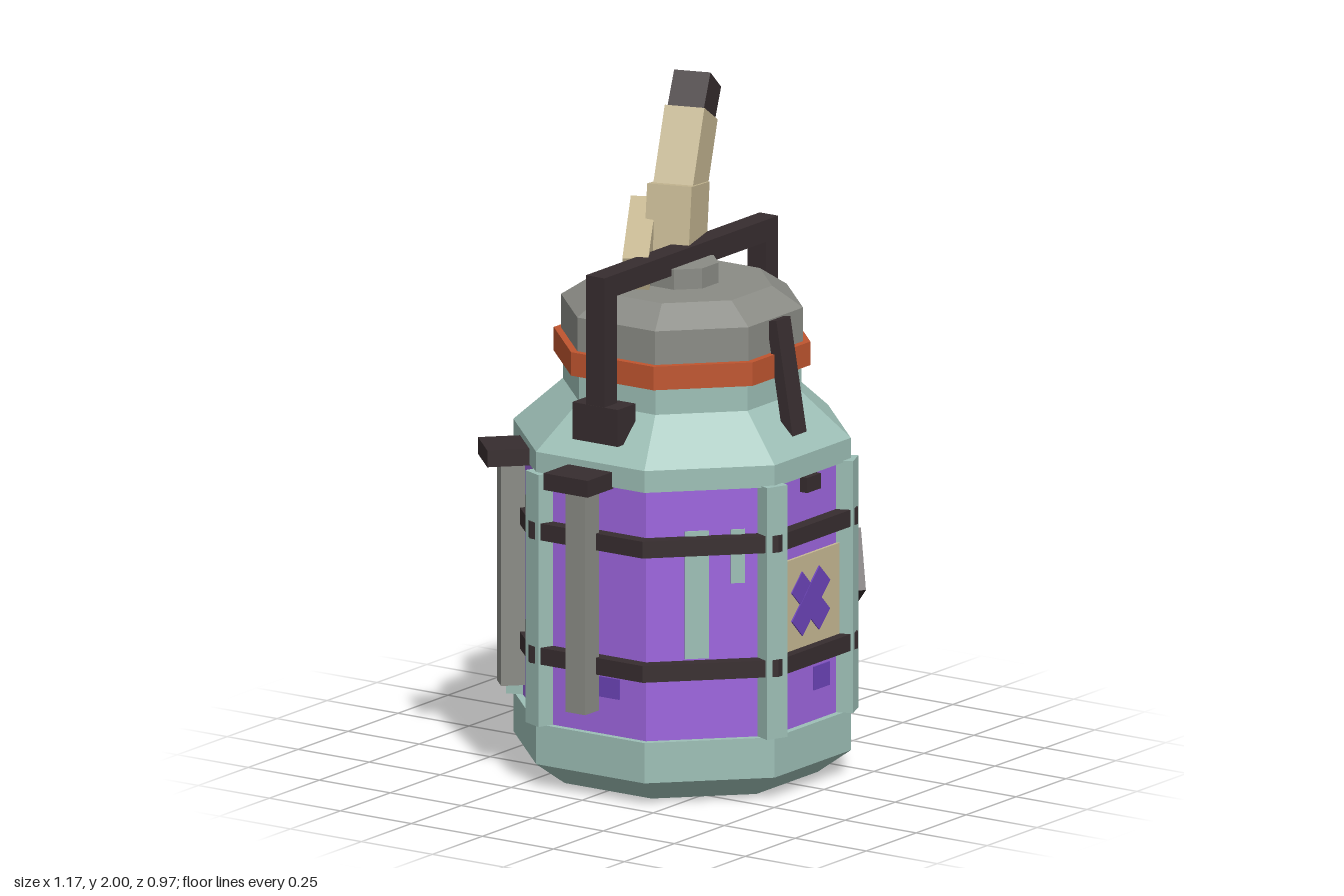
import * as THREE from 'three';

const mat = (name, color) => {
  const m = new THREE.MeshStandardMaterial({ color });
  m.name = name;
  return m;
};

export function createModel() {
  const teal = mat('teal', 0x9dbfb6), purple = mat('purple', 0x9d65de), grey = mat('grey', 0x8a8b85);
  const black = mat('black', 0x372d2f), orange = mat('orange', 0xbf552f), tan = mat('tan', 0xc6b893);
  const violet = mat('violet', 0x6c44b8), lavender = mat('lavender', 0xb28bde);
  const root = new THREE.Group();
  root.name = 'canister';

  const add = (parent, name, geo, m, x = 0, y = 0, z = 0) => {
    const mesh = new THREE.Mesh(geo, m);
    mesh.name = name;
    mesh.position.set(x, y, z);
    parent.add(mesh);
    return mesh;
  };
  const box = (parent, name, m, w, h, d, x, y, z) =>
    add(parent, name, new THREE.BoxGeometry(w, h, d), m, x, y, z);

  // Flat-shaded octagonal ring or solid; profile holds [apothem, y] from bottom to top
  const octagon = (name, m, profile) => {
    const pts = profile.map(([r, y]) => new THREE.Vector2(r / Math.cos(Math.PI / 8), y));
    const geo = new THREE.LatheGeometry(pts, 8, Math.PI / 8).toNonIndexed();
    geo.computeVertexNormals();
    return add(root, name, geo, m);
  };
  // Group whose +z axis points out of the body at the given angle in degrees
  const side = (name, degrees) => {
    const g = new THREE.Group();
    g.name = name;
    g.rotation.y = THREE.MathUtils.degToRad(degrees);
    root.add(g);
    return g;
  };

  // Body, neck and lid
  octagon('base', teal, [[0, 0], [0.37, 0], [0.46, 0.07], [0.46, 0.19], [0.4, 0.19]]);
  octagon('tank', purple, [[0.44, 0.19], [0.44, 0.935]]);
  octagon('shoulder', teal, [[0.43, 0.935], [0.46, 0.935], [0.46, 1.0], [0.325, 1.13], [0.325, 1.21]]);
  octagon('seal', orange, [[0.31, 1.21], [0.35, 1.21], [0.35, 1.28], [0.31, 1.28]]);
  octagon('lid', grey, [[0.33, 1.28], [0.33, 1.38], [0.245, 1.44], [0, 1.44]]);
  octagon('lidKnob', grey, [[0.1, 1.43], [0.1, 1.5], [0, 1.5]]);
  for (const y of [0.4, 0.77])
    octagon('strap', black, [[0.43, y - 0.025], [0.48, y - 0.025], [0.48, y + 0.025], [0.43, y + 0.025]]);

  // Corner posts
  for (const a of [-22.5, 22.5, 112.5, 202.5, 247.5])
    box(side('cornerPost', a), 'post', teal, 0.07, 0.75, 0.075, 0, 0.565, 0.475);

  // Hanging rails with caps
  for (const [a, drop] of [[90, 0.035], [-90, 0], [135, 0], [-135, 0]]) {
    const g = side('rail', a);
    box(g, 'railBar', grey, 0.07, 0.665, 0.07, 0, 0.598 - drop, 0.5);
    box(g, 'railCap', black, 0.155, 0.05, 0.13, 0, 0.955 - drop, 0.518);
  }

  // Carrying handle
  box(root, 'handleBar', black, 0.87, 0.065, 0.065, 0, 1.512, 0);
  for (const s of [-1, 1]) {
    box(root, 'handleLeg', black, 0.062, 0.46, 0.065, s * 0.404, 1.28, 0);
    box(root, 'handleBracket', black, 0.09, 0.11, 0.16, s * 0.391, 1.105, 0);
  }

  // Front latch and catch
  box(root, 'latch', black, 0.07, 0.34, 0.035, 0, 1.21, 0.368).rotation.x = -0.17;
  box(root, 'catch', black, 0.07, 0.045, 0.03, 0, 0.907, 0.45);

  // Front plate with a cross mark
  box(root, 'plate', tan, 0.32, 0.275, 0.009, 0, 0.558, 0.446);
  for (const s of [-1, 1])
    box(root, 'crossMark', violet, 0.195, 0.075, 0.006, 0, 0.555, 0.4515 + s * 0.0005).rotation.z = s * Math.PI / 4;

  // Clamp on the front left face
  const clamp = side('clamp', 45);
  box(clamp, 'clampRod', black, 0.045, 0.43, 0.04, 0.027, 0.585, 0.47).rotation.z = 0.55;
  box(clamp, 'clampBlock', black, 0.185, 0.185, 0.08, 0.035, 0.557, 0.482).rotation.z = -0.48;

  // Painted patches: face angle, across, height, width, tallness, colour
  const patches = [
    [0, 0.07, 0.315, 0.08, 0.07, violet],
    [45, 0.02, 0.795, 0.07, 0.05, lavender],
    [45, 0.045, 0.347, 0.12, 0.055, lavender],
    [90, -0.09, 0.565, 0.08, 0.065, violet],
    [90, -0.03, 0.49, 0.04, 0.06, violet],
    [90, -0.08, 0.79, 0.05, 0.04, violet],
    [135, -0.085, 0.495, 0.08, 0.065, lavender],
    [135, -0.04, 0.78, 0.055, 0.05, violet],
    [135, 0.08, 0.66, 0.08, 0.06, lavender],
    [180, 0.05, 0.56, 0.08, 0.07, violet],
    [180, -0.04, 0.45, 0.07, 0.05, violet],
    [-90, 0.05, 0.33, 0.08, 0.06, violet],
    [-45, -0.034, 0.62, 0.07, 0.38, teal],
    [-45, 0.086, 0.73, 0.042, 0.16, teal],
  ];
  for (const [a, x, y, w, h, m] of patches)
    box(side('paintedPatch', a), 'patch', m, w, h, 0.006, x, y, 0.441);

  // Bent nozzle: boxes running from one point to another in a turned plane
  const arm = (parent, name, m, [x1, y1], [x2, y2], w, d) => {
    const dx = x2 - x1, dy = y2 - y1;
    const b = box(parent, name, m, w, Math.hypot(dx, dy), d, (x1 + x2) / 2, (y1 + y2) / 2, 0);
    b.rotation.z = -Math.atan2(dx, dy);
  };
  const nozzle = new THREE.Group();
  nozzle.name = 'nozzle';
  nozzle.position.set(0.05, 0, -0.065);
  nozzle.rotation.y = 0.3;
  root.add(nozzle);
  arm(nozzle, 'nozzleBase', tan, [0.005, 1.44], [0.045, 1.7], 0.17, 0.135);
  arm(nozzle, 'nozzleNeck', tan, [0.045, 1.65], [0.165, 1.88], 0.14, 0.12);
  arm(nozzle, 'nozzleTip', black, [0.15, 1.855], [0.225, 1.966], 0.12, 0.11);

  // Lever beside the nozzle
  const lever = new THREE.Group();
  lever.name = 'lever';
  lever.position.set(-0.055, 0, -0.11);
  lever.rotation.y = 0.53;
  root.add(lever);
  arm(lever, 'leverArm', tan, [-0.14, 1.49], [0.155, 1.6], 0.11, 0.075);

  return root;
}
